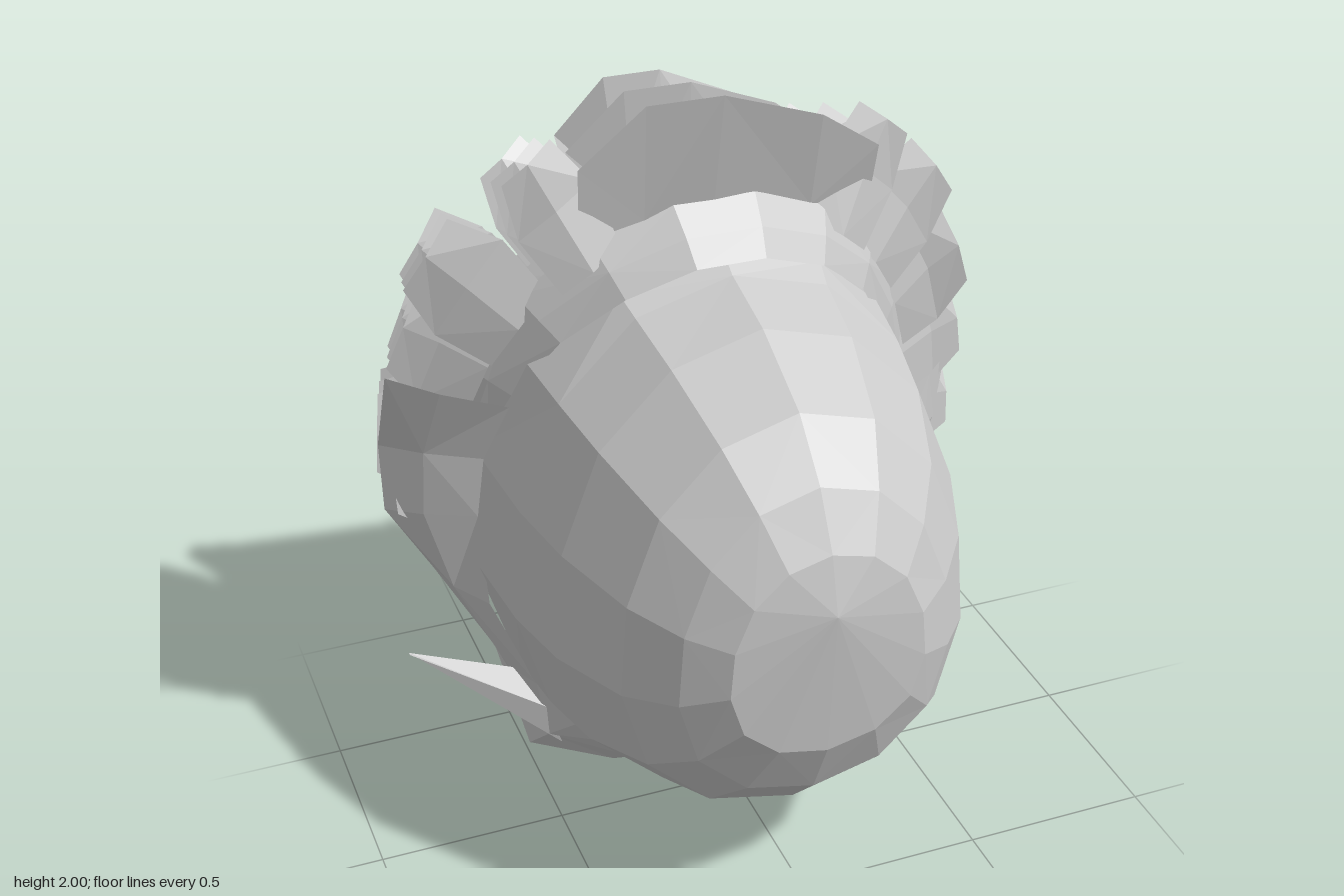
import * as THREE from 'three';

const rad = THREE.MathUtils.degToRad;
const material = new THREE.MeshStandardMaterial({ color: 0xcccccc, flatShading: true, side: THREE.DoubleSide });

// Faceted surface through rows of points; every row has the same count
function loft(name, rows) {
  const pos = [];
  for (let i = 0; i < rows.length - 1; i++) {
    for (let j = 0; j < rows[i].length - 1; j++) {
      const a = rows[i][j], b = rows[i][j + 1], c = rows[i + 1][j + 1], d = rows[i + 1][j];
      if ((i + j) % 2) pos.push(...a, ...b, ...c, ...a, ...c, ...d);
      else pos.push(...a, ...b, ...d, ...b, ...c, ...d);
    }
  }
  const geometry = new THREE.BufferGeometry();
  geometry.setAttribute('position', new THREE.Float32BufferAttribute(pos, 3));
  geometry.computeVertexNormals();
  const mesh = new THREE.Mesh(geometry, material);
  mesh.name = name;
  return mesh;
}

// Point on an upright oval, fuller below; the angle is 0 at the top and grows toward +x
const oval = (t, rx, top, bottom, z) => [
  rx * Math.sin(t) * (1 + 0.2 * Math.max(0, -Math.cos(t))),
  (top + bottom) / 2 + (top - bottom) / 2 * Math.cos(t), z];

// Back edge of the bowl: its sides reach further back than its top and bottom
const rimPoint = (t) => oval(t, 0.615, 1.58, 0.12, -0.05 - 0.29 * Math.abs(Math.sin(t)) ** 3);

// Base line of a layer of shards: layers lean back and draw together at the sides
function layerPoint(t, layer, spread, dz) {
  const s = Math.abs(Math.sin(t)) ** 2.5;
  const shrink = spread * (1 - 0.02 * layer);
  return [
    0.67 * shrink * Math.sin(t),
    0.9 + 0.8 * shrink * Math.cos(t) - 0.03 * layer,
    dz - 0.12 - 0.28 * s - (0.17 - 0.06 * s) * layer];
}

function createBowl() {
  const profile = [ // z, half width, top, bottom
    [0.68, 0, 0.97, 0.97], [0.64, 0.25, 1.12, 0.55], [0.56, 0.35, 1.26, 0.38],
    [0.43, 0.45, 1.39, 0.25], [0.2, 0.54, 1.5, 0.15], [0, 0.585, 1.55, 0.12]];
  const angles = Array.from({ length: 15 }, (_, i) => i / 14 * Math.PI * 2);
  const rows = profile.map(([z, rx, top, bottom]) => angles.map(t => oval(t, rx, top, bottom, z)));
  rows.push(angles.map(rimPoint));
  return loft('bowl', rows);
}

// Flared broken edge running under the bowl from side to side
function createLowerFlare() {
  const edge = [
    [0.8, 0.97, -0.4], [0.76, 0.8, -0.37], [0.7, 0.64, -0.47], [0.55, 0.42, -0.38],
    [0.36, 0.23, -0.2], [0.12, 0.06, -0.16], [-0.12, 0, -0.15], [-0.3, 0.03, -0.15],
    [-0.53, 0.13, -0.18], [-0.57, 0.36, -0.34], [-0.7, 0.58, -0.46], [-0.83, 0.83, -0.4],
    [-0.84, 1.05, -0.36], [-0.83, 1.3, -0.25]];
  const inner = edge.map(([x, y]) => {
    const [rx, ry, rz] = rimPoint(Math.atan2(x, y - 0.85));
    return [rx * 0.99, 0.85 + (ry - 0.85) * 0.99, rz + 0.07];
  });
  const middle = edge.map((p, i) => p.map((v, k) => 0.5 * v + 0.5 * inner[i][k] + (k ? 0 : Math.sign(p[0]) * 0.02)));
  return loft('lowerFlare', [inner, middle, edge]);
}

// Arched strip that carries one layer of shards
function createArch(layer) {
  const end = rad(100);
  const angles = Array.from({ length: 12 }, (_, i) => -end + i / 11 * end * 2);
  return loft('archStrip', [
    angles.map(t => layerPoint(t, layer, 0.86, layer ? 0.16 : 0.12)),
    angles.map(t => layerPoint(t, layer, 0.94, 0.07)),
    angles.map(t => layerPoint(t, layer, 1.02, 0))]);
}

// Tall broad shard at the top of a layer, narrower and leaning further back in each layer
function createCrest(layer) {
  const tips = [[-0.34, 1.82, -0.15], [-0.18, 1.98, -0.1], [0, 2, -0.05], [0.27, 1.9, -0.08], [0.45, 1.77, -0.14]];
  const narrow = 1 - 0.12 * layer;
  const base = tips.map(([x]) => layerPoint(Math.asin(x * narrow / 0.67), layer, 1, 0));
  const edge = tips.map(([x, y, z]) => [x * narrow, y - 0.05 * layer, z - 0.23 * layer]);
  return loft('crestShard', [base, edge]);
}

// Folded side shard: wide base, narrower outer edge
function createShard(layer, side, [deg, width, reach, lean]) {
  const t = rad(deg), w = rad(width);
  const row = (scale, spread, dz) => [-1, 0, 1].map(k => {
    const p = layerPoint(t + k * w * scale, layer, spread, dz + 0.03 * k + (k ? 0 : 0.02));
    return [p[0] * side, p[1], p[2]];
  });
  return loft('sideShard', [
    row(1, 0.96, 0.04), row(1, 1 + (reach - 1) * 0.5, -lean * 0.3), row(0.6, reach, -lean)]);
}

export function createModel() {
  const group = new THREE.Group();
  group.add(createBowl(), createLowerFlare());

  // Layers of shards stepping toward the back
  const shards = [ // angle, half width, reach, lean back
    [33, 8, 1.36, 0.03], [48, 10, 1.36, 0.03], [64, 12, 1.3, 0],
    [79, 10, 1.26, 0.02], [92, 9, 1.2, 0]];
  for (let layer = 0; layer < 3; layer++) {
    const set = new THREE.Group();
    set.name = 'shardLayer' + (layer + 1);
    set.add(createArch(layer), createCrest(layer));
    for (const side of [1, -1]) {
      shards.forEach(([deg, w, reach, lean], i) => {
        const shift = side > 0 ? 0 : (i % 2 ? 2 : -3);
        set.add(createShard(layer, side, [deg + shift, w, reach - 0.03 * layer, lean + 0.025 * layer]));
      });
      // Small splinter at the lower end
      set.add(createShard(layer, side, [103, 4, 1.06, 0.02]));
    }
    group.add(set);
  }

  // Long splinter low on one side, short one on the other
  group.add(loft('lowSplinter', [
    [[-0.46, 0.17, -0.1], [-0.5, 0.3, -0.1], [-0.56, 0.38, -0.2]],
    [[-0.84, 0.5, -0.2], [-0.84, 0.5, -0.19], [-0.84, 0.5, -0.2]]]));
  group.add(loft('shortSplinter', [
    [[0.2, 0.14, 0], [0.33, 0.23, 0.02], [0.44, 0.36, 0.1]],
    [[0.3, 0.22, -0.2], [0.36, 0.24, -0.14], [0.43, 0.27, -0.18]]]));
  return group;
}
